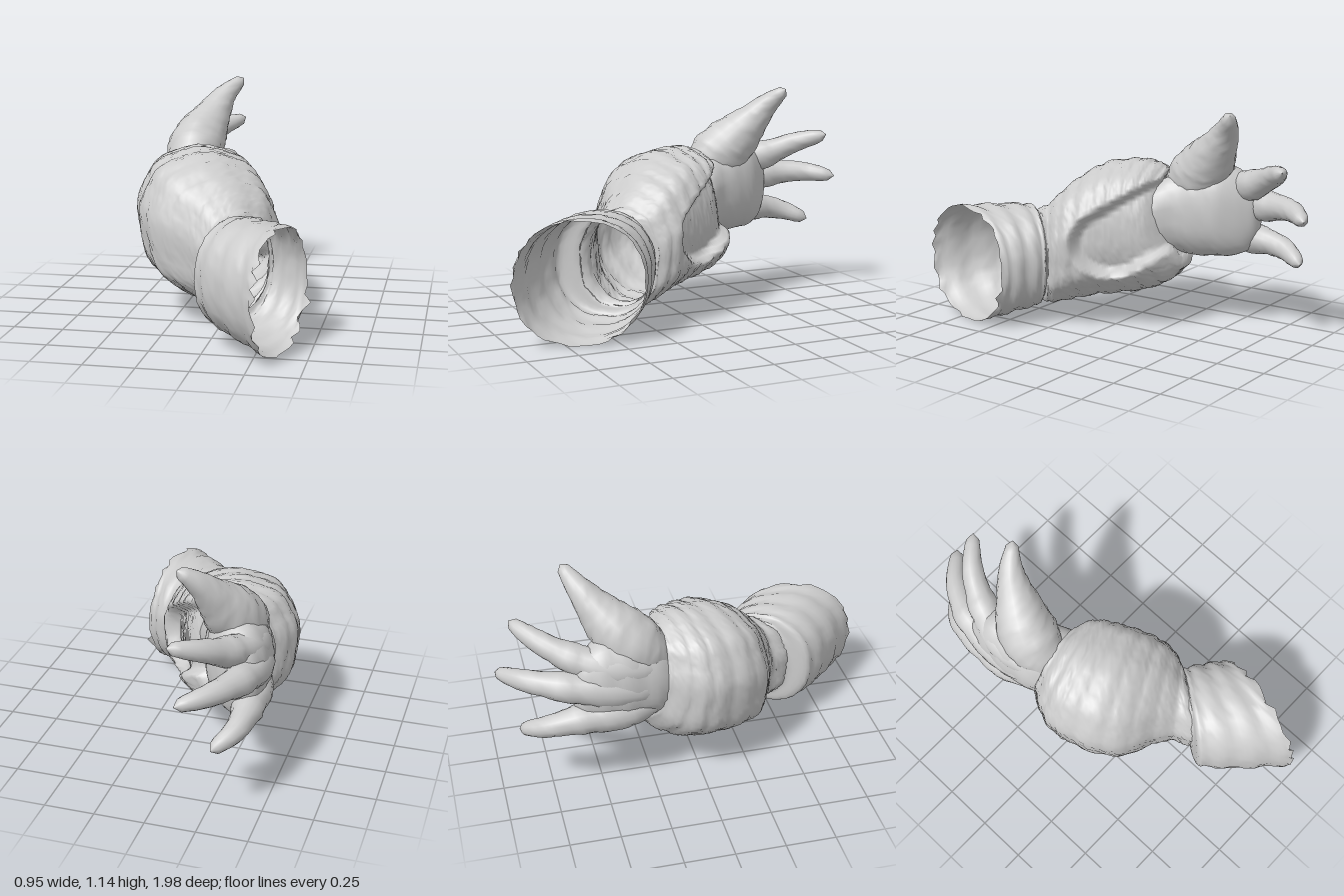
import * as THREE from 'three';

const material = new THREE.MeshStandardMaterial({ color: 0xcccccc, roughness: 0.85, side: THREE.DoubleSide });

// repeatable value in -1..1 for a pair of indices
const hash = (i, j) => {
  const s = Math.sin(i * 127.1 + j * 311.7) * 43758.5453;
  return (s - Math.floor(s)) * 2 - 1;
};
const step = THREE.MathUtils.smoothstep;

// skin a grid of rings; point(t, angle, i, j) gives each vertex
function skin(name, rings, sides, point) {
  const pos = [], index = [];
  for (let i = 0; i <= rings; i++) {
    for (let j = 0; j < sides; j++) {
      pos.push(...point(i / rings, (j / sides) * Math.PI * 2, i, j).toArray());
    }
  }
  for (let i = 0; i < rings; i++) {
    for (let j = 0; j < sides; j++) {
      const k = (j + 1) % sides;
      const a = i * sides + j, b = a + sides, c = i * sides + k, d = c + sides;
      index.push(a, b, c, c, b, d);
    }
  }
  const geo = new THREE.BufferGeometry();
  geo.setAttribute('position', new THREE.Float32BufferAttribute(pos, 3));
  geo.setIndex(index);
  geo.computeVertexNormals();
  const mesh = new THREE.Mesh(geo, material);
  mesh.name = name;
  return mesh;
}

// loft through sections [outer x, outer z, inner x, inner z, bottom y, top y]
// shape(p, t, angle, outward, i, j) adds the surface detail
function loft(name, sections, rings, sides, power, shape) {
  const lows = new THREE.CatmullRomCurve3(sections.map(s => new THREE.Vector3(s[0], s[4], s[1])), false, 'catmullrom', 0.5);
  const highs = new THREE.CatmullRomCurve3(sections.map(s => new THREE.Vector3(s[2], s[5], s[3])), false, 'catmullrom', 0.5);
  const round = v => Math.sign(v) * Math.pow(Math.abs(v), power);
  return skin(name, rings, sides, (t, a, i, j) => {
    const lo = lows.getPoint(t), hi = highs.getPoint(t);
    const half = hi.clone().sub(lo).multiplyScalar(0.5);
    const c = round(Math.cos(a)), s = round(Math.sin(a));
    const offset = new THREE.Vector3(half.x * c, half.y * s, half.z * c);
    const p = lo.add(hi).multiplyScalar(0.5).add(offset);
    shape(p, t, a, offset.normalize(), i, j);
    return p;
  });
}

// tapering curved digit: path points with matching radii
function digit(name, points, radii, rings = 26, sides = 16) {
  const curve = new THREE.CatmullRomCurve3(points.map(p => new THREE.Vector3(...p)));
  const frames = curve.computeFrenetFrames(rings);
  const last = radii.length - 1;
  return skin(name, rings, sides, (t, a, i, j) => {
    const k = Math.min(Math.floor(t * last), last - 1);
    let r = THREE.MathUtils.lerp(radii[k], radii[k + 1], t * last - k);
    if (i === rings) r = 0.001;
    r *= 1 + 0.04 * hash(i, j);
    return curve.getPointAt(t)
      .addScaledVector(frames.normals[i], Math.cos(a) * r)
      .addScaledVector(frames.binormals[i], -Math.sin(a) * r);
  });
}

// depth 0..1 of the slanted, round-ended hollow on the inner side of the forearm
function hollowDepth(p, out) {
  const dz = p.z - 0.075, dy = p.y - 0.37;
  const along = -0.82 * dz + 0.57 * dy, across = 0.57 * dz + 0.82 * dy;
  const d = Math.hypot(across, Math.min(along - 0.16, 0));
  return (1 - step(d, 0.135, 0.175)) * step(out.x, 0.1, 0.3);
}

export function createModel() {
  const arm = new THREE.Group();
  arm.name = 'clawedArm';

  // open upper arm with a torn edge and a folded rim at the elbow
  arm.add(loft('upperArm', [
    [0.28, 0.995, 0.44, 0.39, 0.005, 0.605],
    [0.19, 0.91, 0.40, 0.35, 0.02, 0.605],
    [0.08, 0.81, 0.34, 0.31, 0.04, 0.605],
    [-0.01, 0.71, 0.28, 0.27, 0.06, 0.60],
    [-0.05, 0.64, 0.25, 0.26, 0.075, 0.59],
    [0.0, 0.55, 0.24, 0.25, 0.12, 0.57],
    [-0.03, 0.48, 0.24, 0.22, 0.13, 0.58],
  ], 30, 48, 0.92, (p, t, a, out, i, j) => {
    p.addScaledVector(out, 0.005 * Math.sin(t * 32) + 0.004 * hash(i, j));
    if (i === 0) p.x += 0.017 * hash(3, j) + (j === 45 ? 0.05 : 0);
  }));

  // swollen forearm shell with ring ridges
  arm.add(loft('forearmShell', [
    [0.0, 0.56, 0.24, 0.26, 0.11, 0.57],
    [-0.05, 0.46, 0.26, 0.23, 0.105, 0.61],
    [-0.16, 0.40, 0.27, 0.16, 0.115, 0.69],
    [-0.30, 0.35, 0.25, 0.08, 0.13, 0.76],
    [-0.40, 0.25, 0.21, 0.0, 0.15, 0.82],
    [-0.46, 0.11, 0.17, -0.07, 0.17, 0.84],
    [-0.475, 0.01, 0.13, -0.14, 0.20, 0.845],
    [-0.44, -0.08, 0.08, -0.19, 0.25, 0.83],
    [-0.38, -0.16, -0.02, -0.22, 0.33, 0.80],
    [-0.33, -0.13, -0.09, -0.18, 0.40, 0.75],
  ], 80, 90, 0.88, (p, t, a, out, i, j) => {
    const low = (1 - Math.sin(a)) / 2;
    p.z -= 0.12 * step(t, 0.3, 0.9) * low * low;
    const hollow = hollowDepth(p, out);
    const ridges = 0.009 * (Math.abs(Math.sin(t * 30)) - 0.5) + 0.004 * Math.sin(a * 9);
    p.addScaledVector(out, ridges * (1 - hollow) + 0.003 * hash(i, j));
    p.x -= 0.075 * hollow;
    p.z += 0.02 * hollow;
  }));

  // wrist and palm, growing out of the hollow
  arm.add(loft('hand', [
    [-0.28, 0.04, 0.06, -0.02, 0.36, 0.66],
    [-0.36, -0.12, 0.0, -0.15, 0.37, 0.74],
    [-0.42, -0.24, -0.06, -0.25, 0.375, 0.80],
    [-0.445, -0.36, -0.10, -0.35, 0.37, 0.84],
    [-0.45, -0.46, -0.13, -0.45, 0.375, 0.85],
    [-0.44, -0.54, -0.18, -0.53, 0.385, 0.82],
    [-0.42, -0.60, -0.24, -0.59, 0.42, 0.77],
    [-0.38, -0.635, -0.29, -0.63, 0.50, 0.70],
    [-0.345, -0.64, -0.34, -0.64, 0.59, 0.60],
  ], 32, 40, 0.9, (p, t, a, out, i, j) => {
    p.addScaledVector(out, (0.004 * hash(i, j) + 0.005 * Math.sin(t * 36)) * (1 - t));
  }));

  // thumb with its thick root
  arm.add(digit('thumb',
    [[-0.27, 0.66, -0.20], [-0.25, 0.81, -0.36], [-0.195, 0.94, -0.475], [-0.135, 1.05, -0.56], [-0.05, 1.135, -0.625]],
    [0.09, 0.13, 0.15, 0.142, 0.12, 0.092, 0.068, 0.047, 0.024], 28, 20));

  // fingers run as ridges over the hand, swell at the knuckle and end in a claw
  const fingerRadii = [0.05, 0.072, 0.085, 0.09, 0.088, 0.076, 0.078, 0.063, 0.057, 0.05, 0.041, 0.024];
  const fingers = [
    ['upperFinger', [[-0.34, 0.67, -0.22], [-0.35, 0.71, -0.45], [-0.29, 0.765, -0.64], [-0.21, 0.83, -0.78], [-0.085, 0.88, -0.895]]],
    ['middleFinger', [[-0.36, 0.57, -0.24], [-0.375, 0.61, -0.46], [-0.36, 0.645, -0.68], [-0.28, 0.655, -0.85], [-0.145, 0.64, -0.985]]],
    ['lowerFinger', [[-0.34, 0.47, -0.24], [-0.375, 0.465, -0.45], [-0.385, 0.46, -0.63], [-0.37, 0.435, -0.77], [-0.29, 0.385, -0.90]]],
  ];
  for (const [name, path] of fingers) arm.add(digit(name, path, fingerRadii));

  return arm;
}
